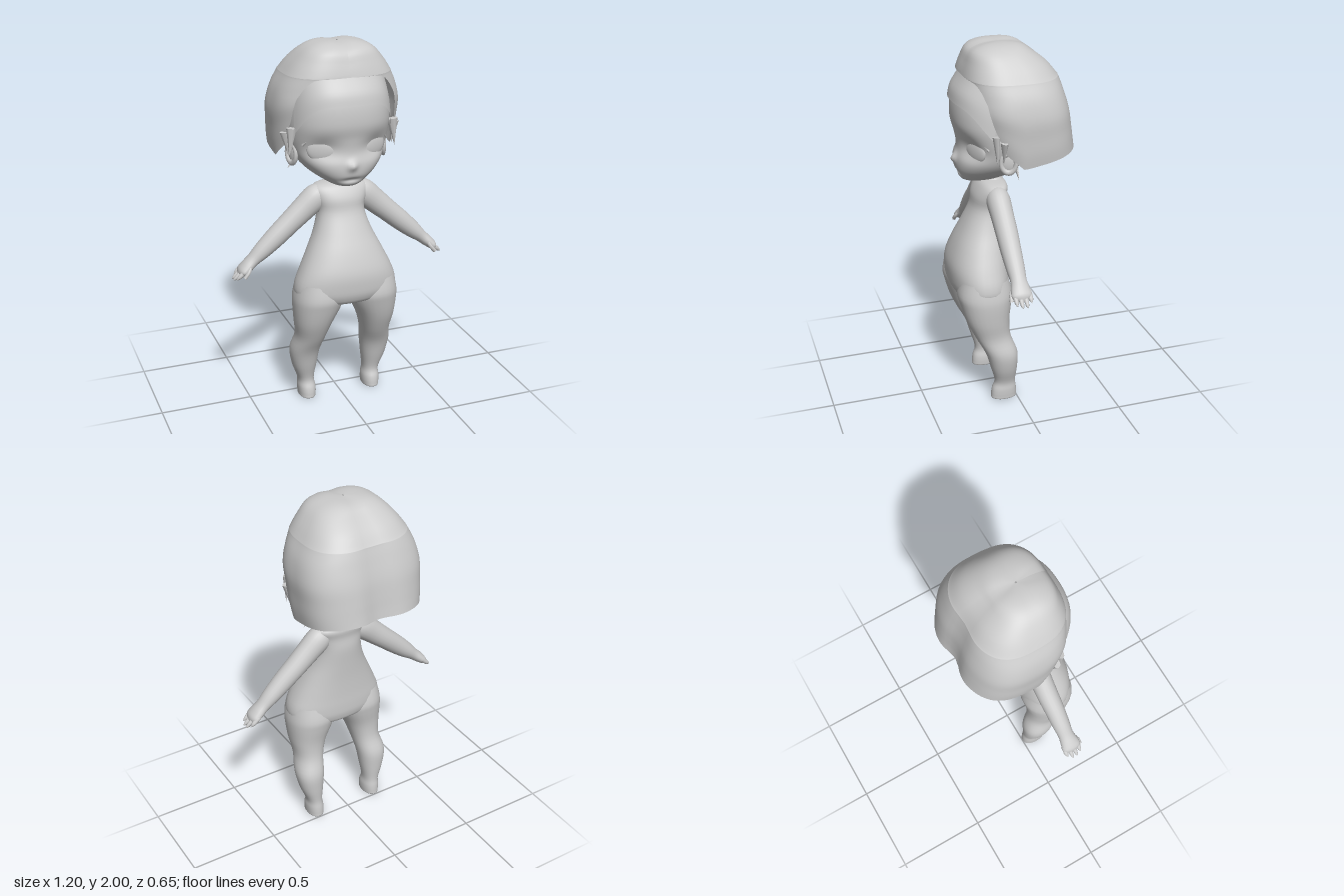
import * as THREE from 'three';

const skin = new THREE.MeshStandardMaterial({ color: 0xcccccc, side: THREE.DoubleSide });

// Smooth curve through a list of equal-length rows
function smoothRows(rows, sub) {
  const out = [];
  const at = (i) => rows[Math.min(Math.max(i, 0), rows.length - 1)];
  for (let i = 0; i < rows.length - 1; i++) {
    for (let k = 0; k < sub; k++) {
      const t = k / sub;
      out.push(at(i).map((b, c) => {
        const a = at(i - 1)[c], d = at(i + 1)[c], e = at(i + 2)[c];
        return b + 0.5 * t * (d - a + t * (2 * a - 5 * b + 4 * d - e + t * (3 * (b - d) + e - a)));
      }));
    }
  }
  out.push(rows[rows.length - 1]);
  return out;
}

// Skin over cross-sections from top to bottom.
// Row: [y, left x, right x, back z, front z, front opening angle]
function loft(name, rows, { n = 2, seg = 32, sub = 4, arc = 0, deform } = {}) {
  const R = smoothRows(rows, sub);
  const open = arc > 0 || rows[0].length > 5;
  const cols = open ? seg + 1 : seg;
  const pos = [], idx = [];
  const pw = (v) => Math.sign(v) * Math.abs(v) ** (2 / n);
  R.forEach(([y, x0, x1, z0, z1, gap = 0], i) => {
    for (let j = 0; j < cols; j++) {
      const u = j / seg;
      const t = arc ? (2 * u - 1) * arc : gap + u * (2 * Math.PI - 2 * gap);
      const p = new THREE.Vector3(
        (x0 + x1) / 2 + (x1 - x0) / 2 * pw(Math.sin(t)), y,
        (z0 + z1) / 2 + (z1 - z0) / 2 * pw(Math.cos(t)));
      if (deform) deform(p, i / (R.length - 1));
      pos.push(p.x, p.y, p.z);
      if (i < R.length - 1 && j < seg) {
        const a = i * cols + j, b = i * cols + (j + 1) % cols;
        idx.push(a, a + cols, b, b, a + cols, b + cols);
      }
    }
  });
  const g = new THREE.BufferGeometry();
  g.setAttribute('position', new THREE.Float32BufferAttribute(pos, 3));
  g.setIndex(idx);
  g.computeVertexNormals();
  const m = new THREE.Mesh(g, skin);
  m.name = name;
  return m;
}

const sym = (y, x, z0, z1, ...rest) => [y, -x, x, z0, z1, ...rest];
const bump = (dx, dy, w, h) => Math.exp(-((dx / w) ** 2) - ((dy / h) ** 2));

function tube(name, points, r) {
  const c = new THREE.CatmullRomCurve3(points.map((p) => new THREE.Vector3(...p)));
  const m = new THREE.Mesh(new THREE.TubeGeometry(c, 12, r, 6), skin);
  m.name = name;
  return m;
}

function ball(name, p, s) {
  const m = new THREE.Mesh(new THREE.SphereGeometry(1, 20, 14), skin);
  m.name = name;
  m.position.set(...p);
  m.scale.set(...s);
  return m;
}

function createArm(s) {
  const arm = new THREE.Group();
  arm.name = s > 0 ? 'leftArm' : 'rightArm';
  arm.add(loft('armAndPalm', [
    sym(0.06, 0.002, 0.08, 0.085), sym(0.05, 0.045, 0.04, 0.125), sym(0, 0.07, 0.02, 0.145),
    sym(-0.1, 0.066, 0.022, 0.142), sym(-0.2, 0.06, 0.024, 0.14), sym(-0.3, 0.056, 0.03, 0.138),
    sym(-0.4, 0.047, 0.036, 0.133), sym(-0.47, 0.035, 0.042, 0.128), sym(-0.52, 0.031, 0.036, 0.138),
    sym(-0.56, 0.024, 0.035, 0.138), sym(-0.585, 0.002, 0.08, 0.09)], { seg: 20 }));
  // Four fingers side by side, thumb at the front
  for (let i = 0; i < 4; i++) {
    const z = 0.045 + i * 0.026, end = [-0.6, -0.622, -0.622, -0.608][i];
    arm.add(loft('finger', [
      sym(-0.53, 0.014, z - 0.013, z + 0.013), sym(-0.57, 0.013, z - 0.013, z + 0.013),
      sym(end + 0.015, 0.009, z - 0.009, z + 0.009), sym(end, 0.001, z - 0.001, z + 0.001)],
    { seg: 10, sub: 2 }));
  }
  arm.add(tube('thumb', [[0, -0.5, 0.12], [-s * 0.012, -0.535, 0.138], [-s * 0.018, -0.57, 0.142]], 0.011));
  arm.position.set(s * 0.13, 1.175, 0);
  arm.rotation.z = s * 0.854;
  return arm;
}

function createLeg(s) {
  const rows = [
    [0.74, 0.03, 0.27, 0.04, 0.3], [0.66, 0.015, 0.287, 0.02, 0.315], [0.6, 0.028, 0.29, 0.025, 0.305],
    [0.5, 0.075, 0.282, 0.04, 0.275], [0.4, 0.107, 0.27, 0.035, 0.23], [0.3, 0.125, 0.288, 0.002, 0.178],
    [0.2, 0.138, 0.272, 0.002, 0.148], [0.11, 0.15, 0.24, 0.008, 0.124], [0.06, 0.143, 0.24, 0.002, 0.138],
    [0.02, 0.143, 0.238, 0, 0.143], [0, 0.15, 0.232, 0.005, 0.136], [0, 0.19, 0.192, 0.06, 0.062]];
  return loft(s > 0 ? 'leftLeg' : 'rightLeg',
    rows.map(([y, a, b, c, d]) => s > 0 ? [y, a, b, c, d] : [y, -b, -a, c, d]), { n: 2.2, seg: 28 });
}

function createHead() {
  const head = new THREE.Group();
  head.name = 'head';

  // Face mask, open at the back, with eye hollows, nose and lips pressed in
  head.add(loft('face', [
    sym(1.87, 0.17, -0.16, 0.2), sym(1.8, 0.23, -0.2, 0.25), sym(1.7, 0.262, -0.2, 0.282),
    sym(1.6, 0.272, -0.2, 0.288), sym(1.52, 0.27, -0.2, 0.272), sym(1.45, 0.255, -0.19, 0.266),
    sym(1.39, 0.228, -0.17, 0.278), sym(1.34, 0.185, -0.12, 0.277), sym(1.3, 0.13, -0.04, 0.265),
    sym(1.27, 0.075, 0.05, 0.245), sym(1.255, 0.01, 0.16, 0.2)],
  { n: 2.25, seg: 72, sub: 6, arc: 1.8, deform: (p) => {
    const x = Math.abs(p.x);
    if (p.z < 0.1) return;
    p.z -= 0.028 * bump(x - 0.145, p.y - 1.47, 0.075, 0.055);
    p.z += 0.022 * bump(x, p.y - 1.385, 0.025, 0.025);
    p.z -= 0.012 * bump(x, p.y - 1.305, 0.05, 0.012);
  } }));

  for (const s of [1, -1]) {
    const eye = ball('eye', [s * 0.143, 1.463, 0.205], [0.076, 0.062, 0.018]);
    eye.rotation.y = s * 0.42;
    head.add(eye);
    head.add(tube('upperLash', [[s * 0.055, 1.485, 0.237], [s * 0.09, 1.522, 0.238],
      [s * 0.15, 1.534, 0.222], [s * 0.205, 1.515, 0.184], [s * 0.228, 1.485, 0.158]], 0.007));
    head.add(tube('eyebrow', [[s * 0.08, 1.567, 0.262], [s * 0.14, 1.58, 0.241],
      [s * 0.2, 1.565, 0.197]], 0.004));
    // Ear: rim around a shallow bowl
    const ear = new THREE.Group();
    ear.name = 'ear';
    const rim = new THREE.Mesh(new THREE.TorusGeometry(0.038, 0.012, 8, 20), skin);
    rim.name = 'earRim';
    rim.scale.y = 1.35;
    ear.add(rim, ball('earBowl', [0, 0, -0.008], [0.038, 0.05, 0.012]));
    ear.position.set(s * 0.258, 1.42, 0.065);
    ear.rotation.y = s * 1.25;
    head.add(ear);
  }
  return head;
}

function createHair() {
  const hair = new THREE.Group();
  hair.name = 'hair';
  // Bob: closed cap above, open in front of the face below
  hair.add(loft('bob', [
    sym(2, 0.004, 0.04, 0.05, 0), sym(1.99, 0.11, -0.05, 0.13, 0), sym(1.96, 0.18, -0.11, 0.195, 0),
    sym(1.9, 0.238, -0.19, 0.222, 0), sym(1.84, 0.28, -0.24, 0.24, 0), sym(1.825, 0.288, -0.25, 0.24, 0.55),
    sym(1.75, 0.322, -0.275, 0.235, 0.78), sym(1.65, 0.342, -0.3, 0.23, 0.83), sym(1.55, 0.338, -0.315, 0.22, 0.9),
    sym(1.47, 0.334, -0.325, 0.21, 1), sym(1.4, 0.325, -0.335, 0.2, 1.1)],
  { n: 2.8, seg: 64, sub: 4, deform: (p, v) => {
    if (p.z < -0.1) p.z += 0.035 * v * bump(p.x, 0, 0.08, 1);
    p.y -= 0.008 * (1 - v) * bump(p.x, 0, 0.04, 1);
    // Hem climbs toward the back and in front of the ear
    const k = Math.max(0, (v - 0.6) / 0.4);
    p.y += k * (p.z < 0 ? -0.17 * p.z : 0.9 * p.z);
  } }));

  // Fringe panel lying on the forehead
  hair.add(loft('fringe', [
    sym(1.9, 0.21, -0.19, 0.2), sym(1.83, 0.25, -0.2, 0.238), sym(1.76, 0.272, -0.2, 0.281),
    sym(1.7, 0.279, -0.2, 0.296)],
  { n: 2.3, seg: 40, arc: 1.25, deform: (p, v) => {
    p.y -= v * 0.17 * Math.min(1, Math.abs(p.x) / 0.27) ** 5;
  } }));

  // Pointed locks beside and behind the ears
  for (const s of [1, -1]) {
    for (const [x, y, z, h, tilt] of [[0.285, 1.5, 0.135, 0.15, -0.1], [0.295, 1.49, 0.1, 0.12, 0.1],
      [0.22, 1.37, 0.01, 0.13, -0.75]]) {
      const lock = new THREE.Mesh(new THREE.ConeGeometry(0.03, h, 8), skin);
      lock.name = 'hairLock';
      lock.position.set(s * x, y, z);
      lock.scale.z = 0.7;
      lock.rotation.set(Math.PI, 0, s * tilt);
      hair.add(lock);
    }
  }
  return hair;
}

export function createModel() {
  const model = new THREE.Group();
  model.name = 'figure';
  model.add(loft('torso', [
    sym(1.255, 0.03, 0.06, 0.1), sym(1.245, 0.12, 0.02, 0.135), sym(1.22, 0.155, 0.005, 0.16),
    sym(1.17, 0.142, 0.01, 0.185), sym(1.1, 0.128, 0.005, 0.198), sym(1, 0.155, 0.01, 0.245),
    sym(0.9, 0.202, 0.014, 0.292), sym(0.8, 0.25, 0.014, 0.325), sym(0.72, 0.28, 0.012, 0.328),
    sym(0.66, 0.275, 0.016, 0.318), sym(0.62, 0.2, 0.04, 0.285), sym(0.6, 0.02, 0.15, 0.17)],
  { n: 2.3, seg: 40 }));
  model.add(loft('neck', [sym(1.36, 0.055, 0.02, 0.15), sym(1.28, 0.045, 0.022, 0.12),
    sym(1.25, 0.055, 0.018, 0.12), sym(1.22, 0.1, 0.01, 0.135)], { seg: 20 }));
  for (const s of [1, -1]) model.add(createArm(s), createLeg(s));
  model.add(createHead(), createHair());
  return model;
}
